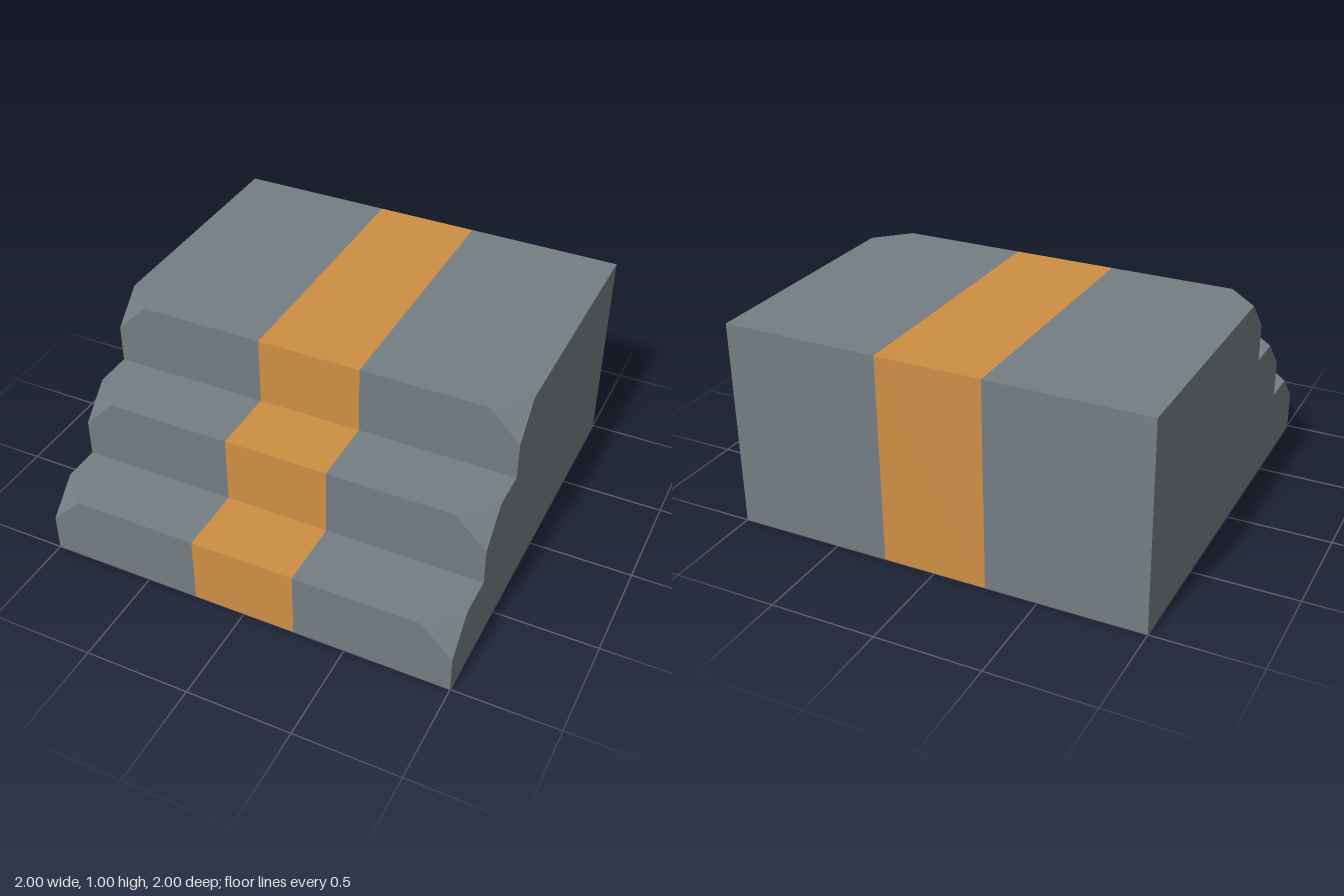
import * as THREE from 'three';

const STEPS = 3, CUT = 0.15;

// Side outline as (z, y) points; each step nose is two points so it can be cut
function outline(cut) {
  const pts = [[-1, 0], [1, 0]];
  for (let i = 1; i <= STEPS; i++) {
    const z = 1 - (i - 1) / 3, y = i / 3;
    pts.push([z, y - cut], [z - cut, y]);
    if (i < STEPS) pts.push([z - 1 / 3, y]);
  }
  pts.push([-1, 1]);
  return pts.map(([z, y]) => new THREE.Vector2(z, y));
}

// Skin between outlines at increasing x, with optional end walls
function loft(sections, capStart, capEnd) {
  const pos = [];
  const tri = (...corners) => {
    for (const [x, p] of corners) pos.push(x, p.y, p.x);
  };
  for (let s = 0; s < sections.length - 1; s++) {
    const [xa, a] = sections[s], [xb, b] = sections[s + 1];
    for (let i = 0; i < a.length; i++) {
      const j = (i + 1) % a.length;
      if (!a[i].equals(a[j])) tri([xa, a[i]], [xb, b[i]], [xa, a[j]]);
      if (!b[i].equals(b[j])) tri([xb, b[i]], [xb, b[j]], [xa, a[j]]);
    }
  }
  const cap = ([x, p], flip) => {
    for (const [i, j, k] of THREE.ShapeUtils.triangulateShape(p, [])) {
      if (flip) tri([x, p[i]], [x, p[k]], [x, p[j]]);
      else tri([x, p[i]], [x, p[j]], [x, p[k]]);
    }
  };
  if (capStart) cap(sections[0], false);
  if (capEnd) cap(sections[sections.length - 1], true);
  const geo = new THREE.BufferGeometry();
  geo.setAttribute('position', new THREE.Float32BufferAttribute(pos, 3));
  geo.computeVertexNormals();
  return geo;
}

export function createModel() {
  const stone = new THREE.MeshStandardMaterial({ name: 'greyStone', color: 0x747e83 });
  const carpet = new THREE.MeshStandardMaterial({ name: 'orangeCarpet', color: 0xce8f44 });
  const group = new THREE.Group();
  group.name = 'steps';
  const add = (name, geo, mat) => {
    const mesh = new THREE.Mesh(geo, mat);
    mesh.name = name;
    group.add(mesh);
  };

  const full = outline(0), cut = outline(CUT), inner = 1 - CUT;

  // Stone sides, with the outer step corners cut off
  add('rightSteps', loft([[-1, cut], [-inner, full], [-0.25, full]], true, false), stone);
  add('leftSteps', loft([[0.25, full], [inner, full], [1, cut]], false, true), stone);

  // Orange band down the middle
  add('centreBand', loft([[-0.25, full], [0.25, full]], false, false), carpet);
  return group;
}
